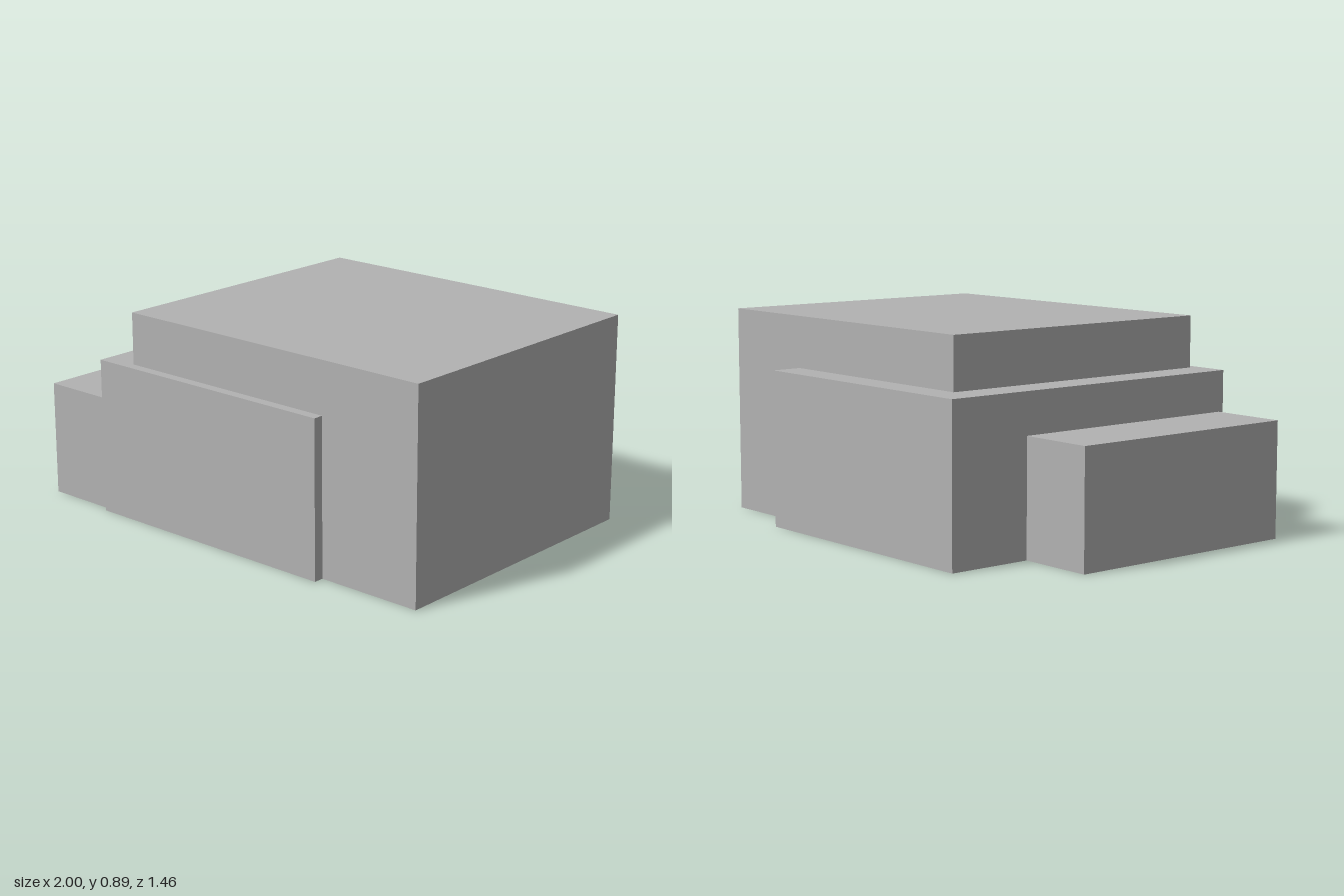
import * as THREE from 'three';

export function createModel() {
  const model = new THREE.Group();
  model.name = 'steppedBlocks';

  const grey = new THREE.MeshStandardMaterial({ color: 0xb2b2b2 });
  grey.name = 'plain grey';

  // Box standing on the ground, given by its x range, height and z range
  function addBlock(name, [x0, x1], height, [z0, z1]) {
    const block = new THREE.Mesh(new THREE.BoxGeometry(x1 - x0, height, z1 - z0), grey);
    block.name = name;
    block.position.set((x0 + x1) / 2, height / 2, (z0 + z1) / 2);
    model.add(block);
  }

  // Tall main volume
  addBlock('mainBlock', [-0.513, 1], 0.89, [-0.6, 0.687]);
  // Lower, deeper volume crossing it
  addBlock('middleBlock', [-0.667, 0.53], 0.668, [-0.733, 0.73]);
  // Lowest volume at the right end
  addBlock('lowBlock', [-1, -0.667], 0.493, [-0.36, 0.706]);

  return model;
}
